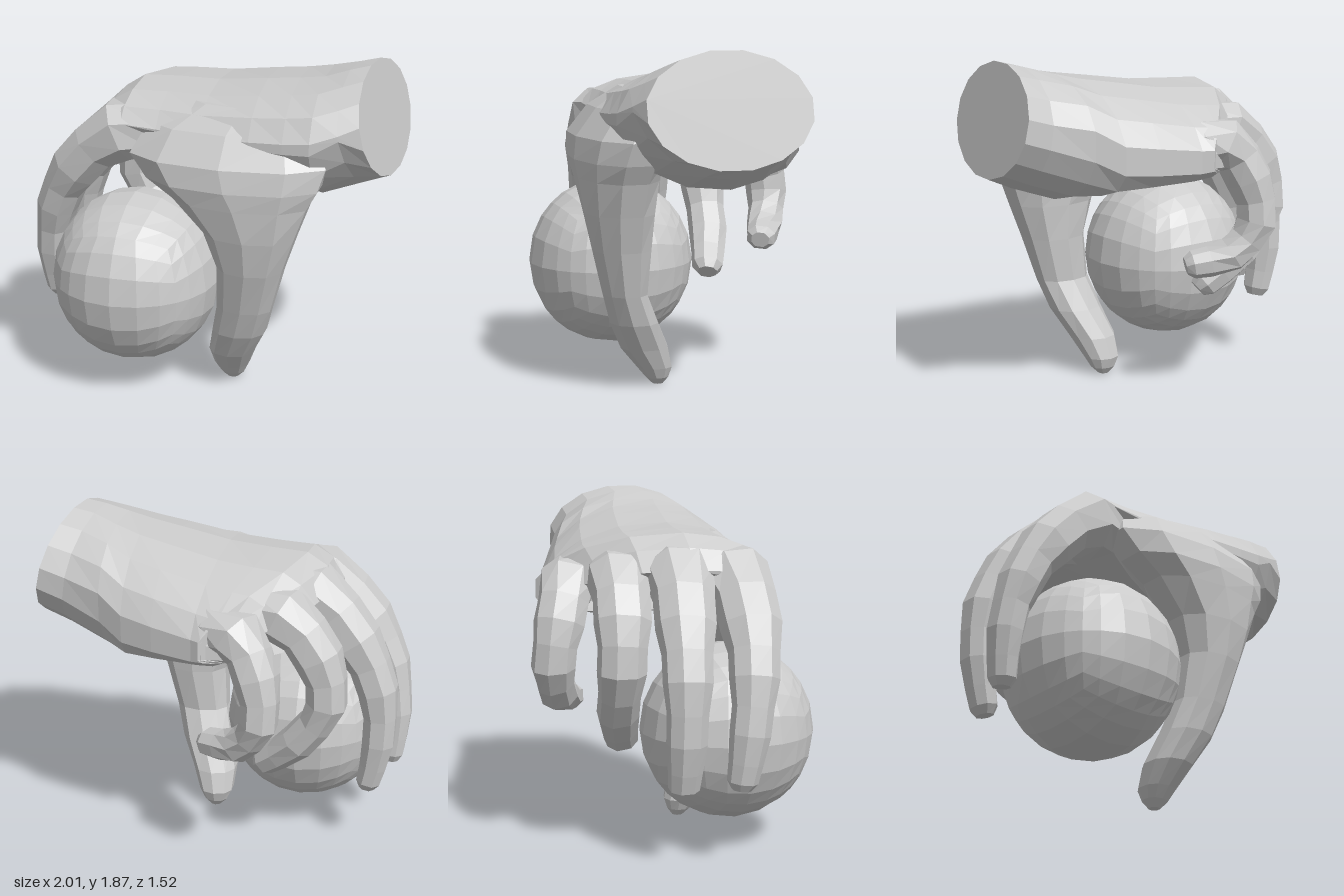
import * as THREE from 'three';

const material = new THREE.MeshStandardMaterial({ color: 0xcccccc, flatShading: true });
const V = (x, y, z) => new THREE.Vector3(x, y, z);

// Skin a list of point rings into a closed, capped solid
function loft(rings) {
  const tris = [];
  const n = rings[0].length;
  for (let i = 0; i < rings.length - 1; i++) {
    for (let j = 0; j < n; j++) {
      const k = (j + 1) % n;
      const a = rings[i][j], b = rings[i][k], c = rings[i + 1][k], d = rings[i + 1][j];
      tris.push([a, b, c], [a, c, d]);
    }
  }
  const first = rings[0], last = rings[rings.length - 1];
  for (let j = 1; j < n - 1; j++) {
    tris.push([first[0], first[j + 1], first[j]], [last[0], last[j], last[j + 1]]);
  }
  // Turn the faces outward whichever way the rings run
  const volume = tris.reduce((s, [a, b, c]) => s + a.dot(b.clone().cross(c)), 0);
  const points = tris.flatMap(([a, b, c]) => (volume < 0 ? [a, c, b] : [a, b, c]));
  const geometry = new THREE.BufferGeometry().setFromPoints(points);
  geometry.computeVertexNormals();
  return geometry;
}

// Slightly squared ellipse, returned as [u, v] pairs in -1..1
function outline(sides, power) {
  const soft = (v) => Math.sign(v) * Math.abs(v) ** power;
  return Array.from({ length: sides }, (_, i) => {
    const a = ((i + 0.5) / sides) * Math.PI * 2;
    return [soft(Math.cos(a)), soft(Math.sin(a))];
  });
}

// Wrist and palm: sections along x, skewed toward the slanted knuckle line
function palm() {
  // x, bend at little-finger side, lean in y, lean in z, hollow, top, bottom, zMin, zMax
  const sections = [
    [0.925, 0, -0.22, -0.13, 0, 1.875, 1.275, -0.37, 0.49],
    [0.8, 0, -0.15, -0.08, 0, 1.85, 1.21, -0.38, 0.53],
    [0.62, 0, 0, 0, 0, 1.81, 1.13, -0.45, 0.57],
    [0.48, 0, 0, 0, 0.03, 1.785, 1.14, -0.52, 0.57],
    [0.3, 0, 0, 0, 0.07, 1.76, 1.16, -0.58, 0.56],
    [0.02, 0.1, 0, 0, 0.08, 1.72, 1.2, -0.64, 0.52],
    [-0.22, 0.4, 0, 0, 0.06, 1.71, 1.24, -0.67, 0.48],
    [-0.42, 0.75, 0, 0, 0.03, 1.7, 1.28, -0.68, 0.47],
    [-0.53, 0.95, 0, 0, 0, 1.63, 1.3, -0.65, 0.45],
    [-0.6, 0.95, 0, 0, 0, 1.52, 1.32, -0.6, 0.4],
  ];
  return loft(sections.map(([x, bend, leanY, leanZ, hollow, top, bottom, z0, z1], i) => {
    const cy = (top + bottom) / 2, cz = (z0 + z1) / 2;
    return outline(16, i < 2 ? 1 : 0.88).map(([u, v]) => {
      const z = cz + (u * (z1 - z0)) / 2;
      const side = Math.min(z - 0.1, 0);
      // The back of the hand falls away toward the little finger, the palm is cupped
      const drop = i > 2 ? 0.2 * side * side : 0;
      const heel = i > 0 ? 0.1 * Math.max(u, 0) : 0;
      const cup = v < 0 ? hollow * (1 - u * u) + heel : 0;
      const y = cy + (v * (top - bottom)) / 2 - drop + cup;
      return V(x + bend * side * side + leanY * (y - cy) + leanZ * (z - cz), y, z);
    });
  }));
}

// Thumb with its wide base and web: level sections from the palm to the tip
function thumb() {
  // y, xMin, xMax, zMin, zMax
  const sections = [
    [1.66, -0.1, 0.56, 0.05, 0.4],
    [1.55, -0.3, 0.66, 0.12, 0.54],
    [1.4, -0.38, 0.72, 0.18, 0.65],
    [1.28, -0.28, 0.68, 0.22, 0.67],
    [1.18, -0.13, 0.62, 0.25, 0.66],
    [1.0, 0.04, 0.55, 0.27, 0.64],
    [0.8, 0.11, 0.48, 0.28, 0.6],
    [0.55, 0.1, 0.41, 0.29, 0.53],
    [0.38, 0.06, 0.36, 0.21, 0.48],
    [0.22, 0.02, 0.28, 0.13, 0.4],
    [0.1, 0.03, 0.23, 0.1, 0.3],
    [0.04, 0.06, 0.2, 0.12, 0.25],
    [0, 0.1, 0.16, 0.15, 0.21],
  ];
  return loft(sections.map(([y, x0, x1, z0, z1]) => outline(10, 0.9).map(([u, v]) =>
    V((x0 + x1) / 2 + (u * (x1 - x0)) / 2, y, (z0 + z1) / 2 + (v * (z1 - z0)) / 2))));
}

// Finger: an oval swept from inside the palm through the joints to a rounded tip
function finger(joints, r0, r1) {
  const curve = new THREE.CatmullRomCurve3(joints.map((p) => V(...p)));
  const steps = [0, 0.1, 0.2, 0.3, 0.4, 0.5, 0.6, 0.7, 0.8, 0.9, 0.97, 1];
  return loft(steps.map((t) => {
    const center = curve.getPoint(t), along = curve.getTangent(t);
    const side = V(0, 0, 1).addScaledVector(along, -along.z).normalize();
    const out = along.clone().cross(side);
    const end = t === 0 ? 0.6 : t === 1 ? 0.55 : t > 0.95 ? 0.88 : 1;
    const taper = r1 + (r0 - r1) * Math.min(1, (1 - t) / 0.8) ** 1.5;
    const r = taper * end * (1 + 0.04 * Math.cos(10 * Math.PI * t));
    return outline(8, 0.9).map(([u, v]) => center.clone()
      .addScaledVector(side, u * r * 1.1).addScaledVector(out, v * r * 0.95));
  }));
}

// Ball: a subdivided cube pushed out to a sphere
function ball() {
  const geometry = new THREE.BoxGeometry(2, 2, 2, 6, 6, 6);
  const pos = geometry.attributes.position;
  for (let i = 0; i < pos.count; i++) {
    const p = new THREE.Vector3().fromBufferAttribute(pos, i).normalize();
    pos.setXYZ(i, p.x * 0.467, p.y * 0.483, p.z * 0.475);
  }
  geometry.computeVertexNormals();
  return geometry.translate(-0.4, 0.62, 0.287);
}

export function createModel() {
  const model = new THREE.Group();
  model.name = 'handHoldingBall';
  const add = (name, geometry) => {
    const mesh = new THREE.Mesh(geometry, material);
    mesh.name = name;
    model.add(mesh);
  };

  add('palmAndWrist', palm());
  add('thumb', thumb());
  add('indexFinger', finger([[-0.15, 1.48, 0.22], [-0.47, 1.46, 0.3], [-0.73, 1.23, 0.3],
    [-0.865, 0.98, 0.27], [-0.915, 0.7, 0.23], [-0.9, 0.41, 0.19]], 0.175, 0.082));
  add('middleFinger', finger([[-0.12, 1.48, 0.04], [-0.46, 1.48, 0], [-0.71, 1.24, -0.05],
    [-0.84, 0.97, -0.08], [-0.855, 0.66, -0.09], [-0.8, 0.37, -0.09]], 0.17, 0.082));
  add('ringFinger', finger([[0, 1.46, -0.22], [-0.35, 1.46, -0.3], [-0.55, 1.25, -0.34],
    [-0.6, 1.0, -0.36], [-0.45, 0.75, -0.34], [-0.22, 0.54, -0.25]], 0.155, 0.092));
  add('littleFinger', finger([[0.12, 1.42, -0.42], [-0.15, 1.42, -0.53], [-0.27, 1.22, -0.61],
    [-0.29, 0.99, -0.65], [-0.17, 0.82, -0.59], [0.05, 0.76, -0.47]], 0.14, 0.085));
  add('ball', ball());
  return model;
}
